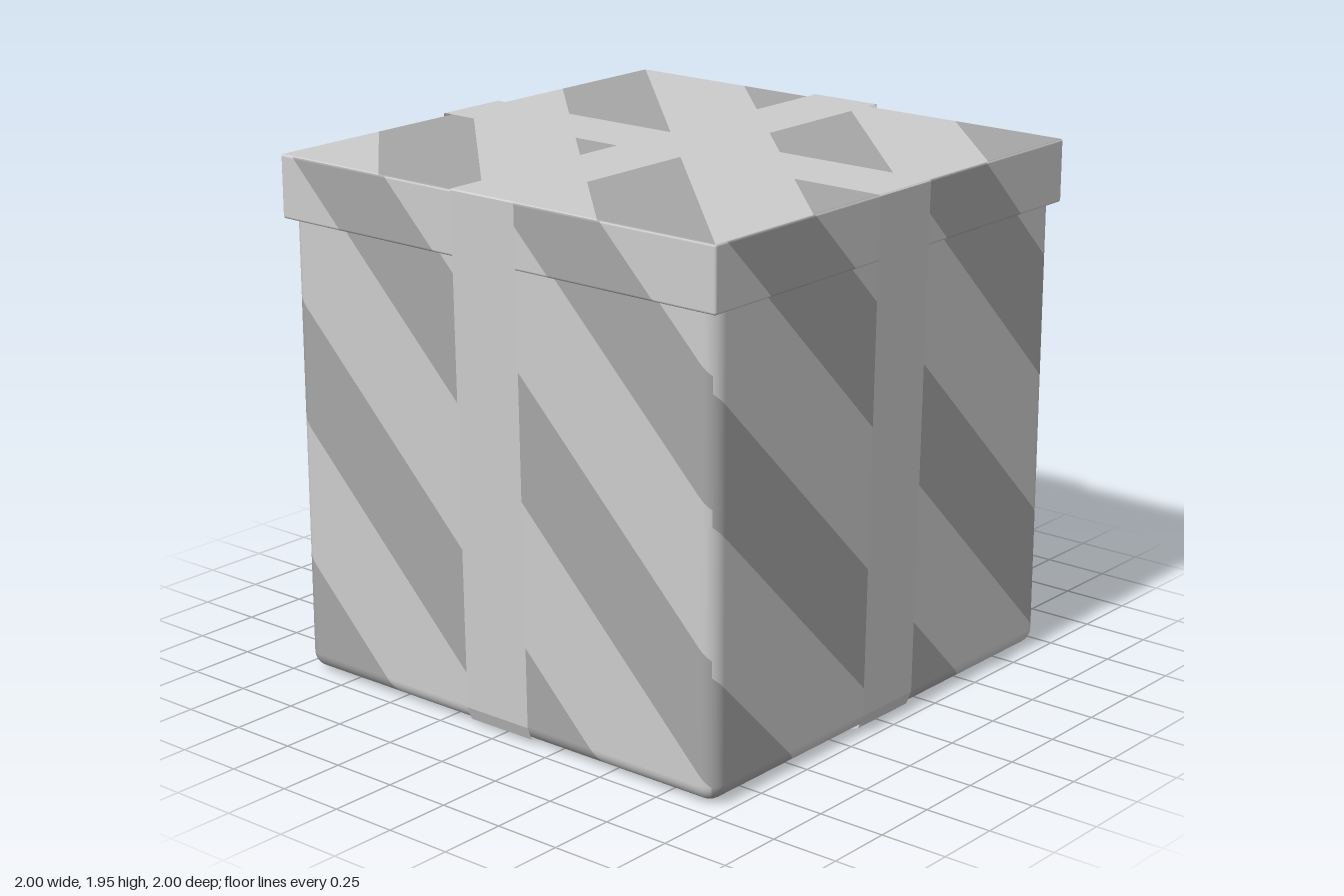
import * as THREE from 'three';
import { RoundedBoxGeometry } from 'three/addons/geometries/RoundedBoxGeometry.js';

const paper = new THREE.MeshStandardMaterial({ color: 0xcccccc });
paper.name = 'light paper';
const stripe = new THREE.MeshStandardMaterial({ color: 0xa6a6a6 });
stripe.name = 'dark stripe';
const satin = new THREE.MeshStandardMaterial({ color: 0xcccccc, side: THREE.DoubleSide });
satin.name = 'ribbon';

// Diagonal stripe layout for the side of the box a face points to:
// coord measures across the stripes, which repeat from start
function stripeRule(n) {
  const ax = Math.abs(n.x), ay = Math.abs(n.y), az = Math.abs(n.z);
  if (ay > ax && ay > az) {
    return n.y > 0
      ? { coord: p => p.x + p.z, start: 0.5, period: 0.99, width: 0.49 }
      : { coord: p => p.x - p.z, start: 0, period: 0.98, width: 0.48 };
  }
  const coord = az >= ax
    ? p => p.y + Math.sign(n.z) * p.x
    : p => p.y - Math.sign(n.x) * p.z;
  return { coord, start: 0.04, period: 0.972, width: 0.45 };
}

// Part of a polygon where sign * (coord - level) >= 0
function clip(poly, coord, level, sign) {
  const out = [];
  poly.forEach((a, i) => {
    const b = poly[(i + 1) % poly.length];
    const da = sign * (coord(a.p) - level), db = sign * (coord(b.p) - level);
    if (da >= 0) out.push(a);
    if ((da > 0 && db < 0) || (da < 0 && db > 0)) {
      const t = da / (da - db);
      out.push({ p: a.p.clone().lerp(b.p, t), n: a.n.clone().lerp(b.n, t).normalize() });
    }
  });
  return out;
}

// Cuts a geometry along the stripe edges into paper and stripe groups
function striped(source) {
  const pos = source.attributes.position, nor = source.attributes.normal;
  const sets = [[], []];
  const tri = new THREE.Triangle(), face = new THREE.Vector3();
  for (let i = 0; i < pos.count; i += 3) {
    const poly = [0, 1, 2].map(k => ({
      p: new THREE.Vector3().fromBufferAttribute(pos, i + k),
      n: new THREE.Vector3().fromBufferAttribute(nor, i + k),
    }));
    tri.set(poly[0].p, poly[1].p, poly[2].p).getNormal(face);
    const { coord, start, period, width } = stripeRule(face);
    const c = poly.map(v => coord(v.p));
    const first = Math.floor((Math.min(...c) - start) / period);
    const last = Math.floor((Math.max(...c) - start) / period);
    for (let k = first; k <= last; k++) {
      const a = start + k * period;
      [[a + width, a + period], [a, a + width]].forEach(([lo, hi], set) => {
        const piece = clip(clip(poly, coord, lo, 1), coord, hi, -1);
        for (let j = 1; j + 1 < piece.length; j++) sets[set].push(piece[0], piece[j], piece[j + 1]);
      });
    }
  }
  const all = sets.flat();
  const g = new THREE.BufferGeometry();
  g.setAttribute('position', new THREE.Float32BufferAttribute(all.flatMap(v => v.p.toArray()), 3));
  g.setAttribute('normal', new THREE.Float32BufferAttribute(all.flatMap(v => v.n.toArray()), 3));
  g.addGroup(0, sets[0].length, 0);
  g.addGroup(sets[0].length, sets[1].length, 1);
  return g;
}

// Striped rounded block between two heights
function block(name, width, y0, y1, radius, segments) {
  const g = new RoundedBoxGeometry(width, y1 - y0, width, segments, radius);
  g.translate(0, (y0 + y1) / 2, 0);
  const mesh = new THREE.Mesh(striped(g), [paper, stripe]);
  mesh.name = name;
  return mesh;
}

// Flat band wrapped once around the box, in the x-y plane
function ribbon(name, top) {
  const half = [[0.9, 0], [0.95, 0.02], [0.97, 0.07], [1, top - 0.005], [0.995, top]];
  const loop = [...half, ...half.map(([x, y]) => [-x, y]).reverse()];
  const pts = [];
  loop.forEach(([x0, y0], i) => {
    const [x1, y1] = loop[(i + 1) % loop.length], w = 0.143;
    pts.push(x0, y0, w, x0, y0, -w, x1, y1, -w);
    pts.push(x0, y0, w, x1, y1, -w, x1, y1, w);
  });
  const g = new THREE.BufferGeometry();
  g.setAttribute('position', new THREE.Float32BufferAttribute(pts, 3));
  g.computeVertexNormals();
  const mesh = new THREE.Mesh(g, satin);
  mesh.name = name;
  return mesh;
}

export function createModel() {
  const model = new THREE.Group();
  model.name = 'giftBox';
  model.add(block('boxBody', 1.92, 0.01, 1.78, 0.06, 4));
  model.add(block('lid', 1.964, 1.705, 1.937, 0.01, 2));

  // Two crossing ribbons
  model.add(ribbon('sideRibbon', 1.945));
  const front = ribbon('frontRibbon', 1.942);
  front.rotation.y = Math.PI / 2;
  model.add(front);
  return model;
}
